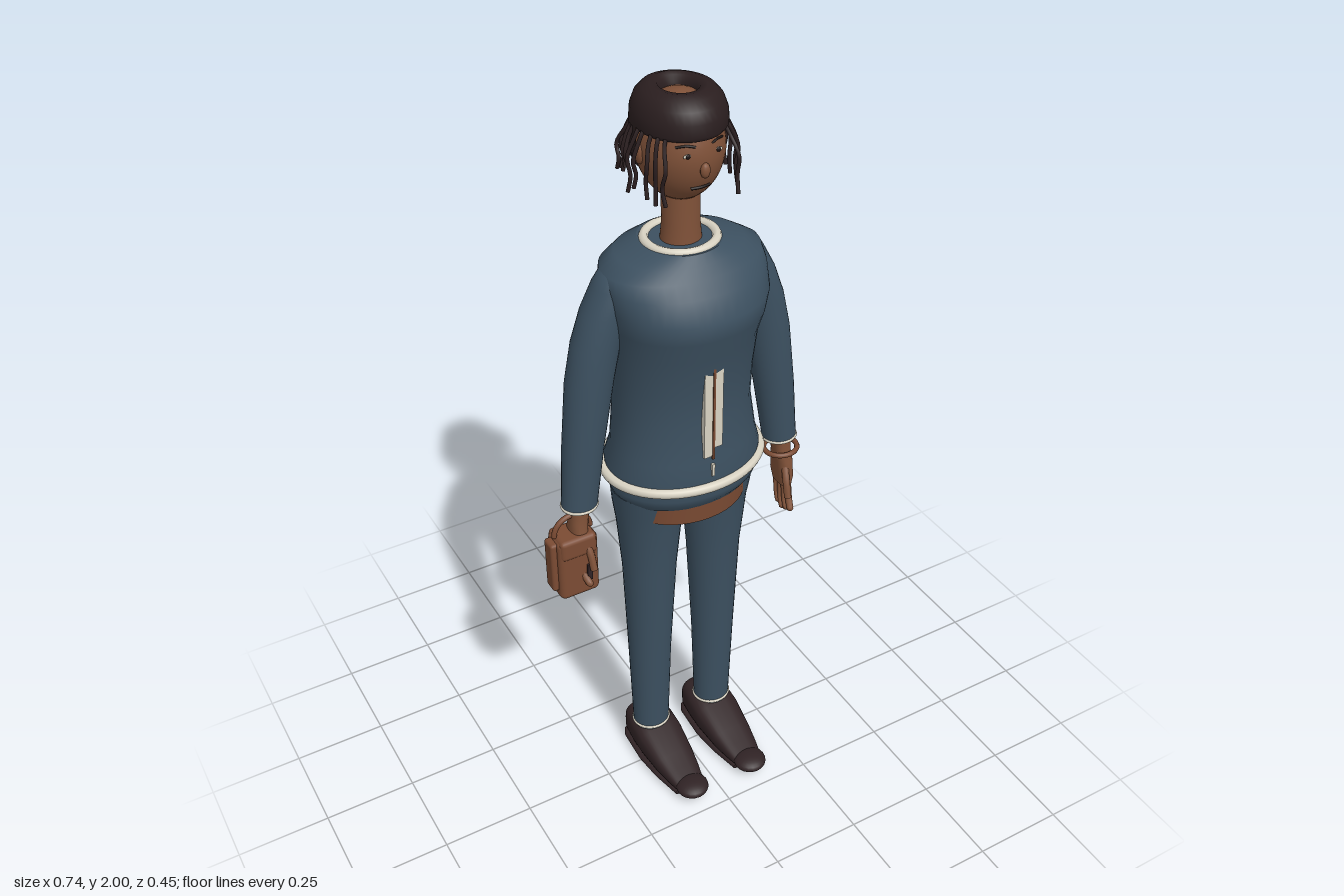
import * as THREE from 'three';
import { RoundedBoxGeometry } from 'three/addons/geometries/RoundedBoxGeometry.js';

const mat = (name, color, side = THREE.FrontSide) => {
  const m = new THREE.MeshStandardMaterial({ color, side });
  m.name = name;
  return m;
};

// Closed body from rows [y, centreX, centreZ, radiusX, radiusZ], bottom to top; n > 2 squares the section
function loft(rows, n = 2, seg = 32) {
  const pos = [], idx = [];
  const ring = ([y, cx, cz, rx, rz]) => {
    for (let i = 0; i < seg; i++) {
      const a = (i / seg) * Math.PI * 2, c = Math.cos(a), s = Math.sin(a);
      pos.push(cx + Math.sign(c) * Math.abs(c) ** (2 / n) * rx, y, cz + Math.sign(s) * Math.abs(s) ** (2 / n) * rz);
    }
  };
  rows.forEach(ring);
  for (let j = 0; j < rows.length - 1; j++) for (let i = 0; i < seg; i++) {
    const a = j * seg + i, b = j * seg + (i + 1) % seg;
    idx.push(a, a + seg, b, b, a + seg, b + seg);
  }
  for (const top of [false, true]) {
    const row = top ? rows[rows.length - 1] : rows[0], start = pos.length / 3;
    ring(row);
    pos.push(row[1], row[0], row[2]);
    for (let i = 0; i < seg; i++) {
      const a = start + i, b = start + (i + 1) % seg;
      idx.push(start + seg, top ? b : a, top ? a : b);
    }
  }
  const g = new THREE.BufferGeometry();
  g.setAttribute('position', new THREE.Float32BufferAttribute(pos, 3));
  g.setIndex(idx);
  g.computeVertexNormals();
  return g;
}

// Horizontal elliptical ring
function band(rx, rz, tube) {
  const pts = [];
  for (let i = 0; i < 40; i++) {
    const a = (i / 40) * Math.PI * 2;
    pts.push(new THREE.Vector3(Math.cos(a) * rx, 0, Math.sin(a) * rz));
  }
  return new THREE.TubeGeometry(new THREE.CatmullRomCurve3(pts, true), 64, tube, 8, true);
}

const tube = (pts, r, steps = 10) =>
  new THREE.TubeGeometry(new THREE.CatmullRomCurve3(pts.map(p => new THREE.Vector3(...p))), steps, r, 7);

export function createModel() {
  const model = new THREE.Group();
  const body = new THREE.Group();
  body.name = 'figure';
  body.position.x = 0.015;
  model.add(body);

  const navy = mat('navy cloth', 0x3c5060), skin = mat('skin', 0x7f5138), leather = mat('brown leather', 0x7b4b33),
    dark = mat('dark hair', 0x2a1e1f, THREE.DoubleSide), shoe = mat('shoe leather', 0x302325),
    cream = mat('cream trim', 0xd9d3c3), ink = mat('face lines', 0x1c1413);

  const add = (name, geo, m, x = 0, y = 0, z = 0, parent = body) => {
    const mesh = new THREE.Mesh(geo, m);
    mesh.name = name;
    mesh.position.set(x, y, z);
    parent.add(mesh);
    return mesh;
  };
  const ball = (name, m, x, y, z, sx, sy, sz, w = 20) =>
    add(name, new THREE.SphereGeometry(1, w, Math.ceil(w * 0.7)).scale(sx, sy, sz), m, x, y, z);

  // Sweater
  add('sweater', loft([
    [1.02, 0, -0.042, 0.2, 0.16], [1.05, 0, -0.042, 0.203, 0.16], [1.1, 0, -0.038, 0.188, 0.152],
    [1.2, 0, -0.045, 0.176, 0.146], [1.3, 0, -0.041, 0.177, 0.15], [1.4, 0, -0.033, 0.182, 0.157],
    [1.46, 0, -0.023, 0.192, 0.167], [1.51, 0, -0.02, 0.2, 0.169], [1.56, 0, -0.035, 0.205, 0.152],
    [1.593, 0, -0.046, 0.2, 0.138], [1.617, 0, -0.052, 0.158, 0.122], [1.637, 0, -0.05, 0.098, 0.1],
  ], 2.1, 44), navy);
  add('hem', band(0.208, 0.166, 0.013), cream, 0, 1.028, -0.043);
  add('collar', band(0.085, 0.082, 0.012), cream, 0, 1.635, -0.048);

  // Front zip: two uneven strips and a pull
  add('zipStripRight', new THREE.BoxGeometry(0.022, 0.27, 0.016), cream, -0.017, 1.25, 0.108);
  add('zipStripLeft', new THREE.BoxGeometry(0.022, 0.27, 0.016), cream, 0.011, 1.275, 0.109);
  add('zipTeeth', new THREE.BoxGeometry(0.006, 0.31, 0.012), leather, -0.003, 1.262, 0.113);
  add('zipPull', new THREE.BoxGeometry(0.008, 0.035, 0.008), cream, -0.004, 1.075, 0.117);

  // Trousers and belt
  add('hips', loft([[0.955, 0, -0.04, 0.186, 0.138], [0.975, 0, -0.038, 0.196, 0.15],
    [0.995, 0, -0.038, 0.203, 0.157], [1.03, 0, -0.038, 0.2, 0.157]], 2, 40), navy);
  add('belt', loft([[0.905, 0, -0.04, 0.168, 0.136], [0.96, 0, -0.04, 0.17, 0.14]], 2, 40), leather);
  add('crotch', loft([[0.87, 0, -0.04, 0.06, 0.09], [0.885, 0, -0.04, 0.075, 0.105], [0.93, 0, -0.04, 0.078, 0.11]], 3), navy);

  for (const s of [1, -1]) {
    const side = s > 0 ? 'left' : 'right';
    const sided = rows => rows.map(([y, x, ...rest]) => [y, x * s, ...rest]);

    add(side + 'TrouserLeg', loft(sided([
      [0.105, 0.1, -0.046, 0.051, 0.047], [0.4, 0.1, -0.046, 0.06, 0.056], [0.7, 0.097, -0.045, 0.073, 0.07],
      [0.86, 0.097, -0.043, 0.086, 0.085], [0.92, 0.102, -0.042, 0.089, 0.094], [0.97, 0.105, -0.04, 0.09, 0.1],
    ])), navy);
    add(side + 'AnkleTrim', band(0.05, 0.046, 0.005), cream, 0.1 * s, 0.113, -0.046);

    // Shoe, lofted heel to toe
    const along = rows => loft(rows, 3, 28).rotateX(Math.PI / 2);
    add(side + 'Shoe', along([
      [-0.12, 0, -0.06, 0.05, 0.048], [-0.1, 0, -0.064, 0.06, 0.054], [-0.05, 0, -0.064, 0.066, 0.054],
      [0, 0, -0.058, 0.067, 0.047], [0.08, 0, -0.042, 0.059, 0.032], [0.13, 0, -0.034, 0.05, 0.023],
      [0.165, 0, -0.03, 0.042, 0.015],
    ]), shoe, 0.095 * s);
    add(side + 'Sole', along([[-0.123, 0, -0.01, 0.052, 0.01], [-0.1, 0, -0.01, 0.064, 0.01],
      [0, 0, -0.01, 0.07, 0.01], [0.08, 0, -0.01, 0.062, 0.01], [0.165, 0, -0.01, 0.044, 0.01]]), shoe, 0.095 * s);
    ball(side + 'ShoeToe', shoe, 0.095 * s, 0.033, 0.18, 0.046, 0.02, 0.045);

    // Sleeve and cuff
    add(side + 'Sleeve', loft(sided([
      [0.975, 0.293, -0.04, 0.046, 0.042], [1.15, 0.272, -0.045, 0.053, 0.05], [1.32, 0.246, -0.05, 0.06, 0.056],
      [1.42, 0.224, -0.052, 0.06, 0.058], [1.5, 0.198, -0.053, 0.057, 0.058], [1.56, 0.173, -0.053, 0.05, 0.055],
      [1.59, 0.162, -0.053, 0.043, 0.045], [1.606, 0.155, -0.053, 0.02, 0.025],
    ])), navy);
    add(side + 'Cuff', band(0.044, 0.04, 0.005), cream, 0.293 * s, 0.976, -0.04);

    // Hand with curled fingers
    add(side + 'Palm', loft(sided([
      [0.82, 0.307, -0.036, 0.016, 0.036], [0.85, 0.307, -0.038, 0.021, 0.042], [0.9, 0.304, -0.038, 0.023, 0.036],
      [0.93, 0.3, -0.038, 0.024, 0.026], [0.98, 0.296, -0.038, 0.027, 0.028],
    ]), 2.4, 20), skin);
    for (let f = 0; f < 4; f++) {
      const z = -0.066 + f * 0.019, end = 0.745 + Math.abs(f - 1) * 0.008;
      add(side + 'Finger', tube([[0.307 * s, 0.84, z], [0.31 * s, 0.79, z + 0.003],
        [0.306 * s, end + 0.012, z + 0.014], [0.302 * s, end, z + 0.026]], 0.0095), skin);
      ball(side + 'Fingertip', skin, 0.302 * s, end, z + 0.026, 0.0095, 0.0095, 0.0095, 8);
    }
    add(side + 'Thumb', tube([[0.3 * s, 0.89, -0.015], [0.292 * s, 0.85, 0.008], [0.29 * s, 0.805, 0.022]], 0.01), skin);
  }
  add('bracelet', band(0.045, 0.042, 0.007), leather, 0.3, 0.932, -0.04);

  // Handbag in the right hand
  const bag = new THREE.Group();
  bag.name = 'handbag';
  bag.position.set(-0.32, 0.81, -0.033);
  body.add(bag);
  add('bagBody', new RoundedBoxGeometry(0.11, 0.185, 0.075, 3, 0.016), leather, 0, 0, 0, bag);
  add('bagSidePocket', new RoundedBoxGeometry(0.03, 0.15, 0.043, 2, 0.008), leather, -0.055, 0.01, 0, bag);
  add('bagFlap', new RoundedBoxGeometry(0.1, 0.06, 0.082, 2, 0.012), leather, 0, 0.066, 0, bag);
  add('bagClasp', new THREE.BoxGeometry(0.013, 0.05, 0.008), shoe, 0.024, -0.02, 0.039, bag);
  add('bagHandle', new THREE.TorusGeometry(0.05, 0.007, 8, 24, Math.PI), leather, 0, 0.095, 0, bag);

  // Neck and head
  add('neck', loft([[1.61, 0, -0.045, 0.052, 0.048], [1.68, 0, -0.045, 0.045, 0.043], [1.79, 0, -0.048, 0.045, 0.045]]), skin);
  const headGeo = new THREE.SphereGeometry(1, 36, 26), p = headGeo.attributes.position;
  const jaw = y => (y < 0 ? 1 + 0.05 * y : 1);
  for (let i = 0; i < p.count; i++) {
    const y = p.getY(i);
    p.setXYZ(i, p.getX(i) * 0.1 * jaw(y), y * 0.126, p.getZ(i) * 0.11 * jaw(y));
  }
  headGeo.computeVertexNormals();
  add('head', headGeo, skin, 0, 1.862, -0.05);
  const faceZ = (x, y) => -0.05 + 0.11 * Math.sqrt(Math.max(0, 1 - (x / 0.1) ** 2 - ((y - 1.862) / 0.126) ** 2));

  // Face
  for (const s of [1, -1]) {
    const x = 0.038 * s, z = faceZ(x, 1.88);
    ball('eyeWhite', cream, x, 1.88, z, 0.011, 0.005, 0.003, 12);
    ball('pupil', ink, x, 1.88, z + 0.002, 0.006, 0.0055, 0.003, 10);
    add('eyebrow', tube([0.02, 0.038, 0.058].map((bx, i) =>
      [bx * s, 1.898 + (i === 1 ? 0.004 : 0), faceZ(bx, 1.9)]), 0.0028), ink);
    ball('ear', skin, 0.098 * s, 1.86, -0.055, 0.01, 0.026, 0.016, 12);
  }
  ball('nose', skin, 0, 1.843, faceZ(0, 1.843) + 0.002, 0.012, 0.018, 0.01, 12);
  add('mouth', tube([-0.024, 0, 0.024].map(x => [x, 1.796, faceZ(x, 1.794)]), 0.0035), ink);

  // Hair: cap open at the crown, plus a longer back
  const lathe = (pts, from, len) => new THREE.LatheGeometry(
    pts.map(q => new THREE.Vector2(...q)), 40, from, len).scale(1, 1, 1.14);
  add('hairCap', lathe([[0.1, 1.912], [0.106, 1.922], [0.104, 1.95], [0.095, 1.975], [0.08, 1.992],
    [0.06, 2], [0.045, 1.997], [0.038, 1.983], [0.038, 1.97]], 0, Math.PI * 2), dark, 0, 0, -0.053);
  add('hairBack', lathe([[0.094, 1.82], [0.102, 1.83], [0.106, 1.87], [0.106, 1.925]],
    Math.PI * 0.5, Math.PI), dark, 0, 0, -0.053);

  // Loose strands around the sides and back
  let seed = 7;
  const rnd = () => (seed = (seed * 16807) % 2147483647) / 2147483647;
  for (const s of [1, -1]) for (let i = 0; i < 13; i++) {
    const a = (0.24 + 0.058 * i + rnd() * 0.03) * Math.PI, out = 0.118 + rnd() * 0.02;
    const drop = (i < 5 ? 1.75 : 1.79) + rnd() * 0.05;
    const at = (r, y, t = 0) => [Math.sin(a + t) * r * s, y, -0.053 + Math.cos(a + t) * r * 1.05];
    const twist = (rnd() - 0.5) * 0.2;
    add('hairStrand', tube([at(0.098, 1.925), at(0.112, 1.9), at(out, 1.855, twist),
      at(out - 0.005, (1.855 + drop) / 2), at(out, drop, twist)], 0.0048, 12), dark);
  }
  return model;
}
